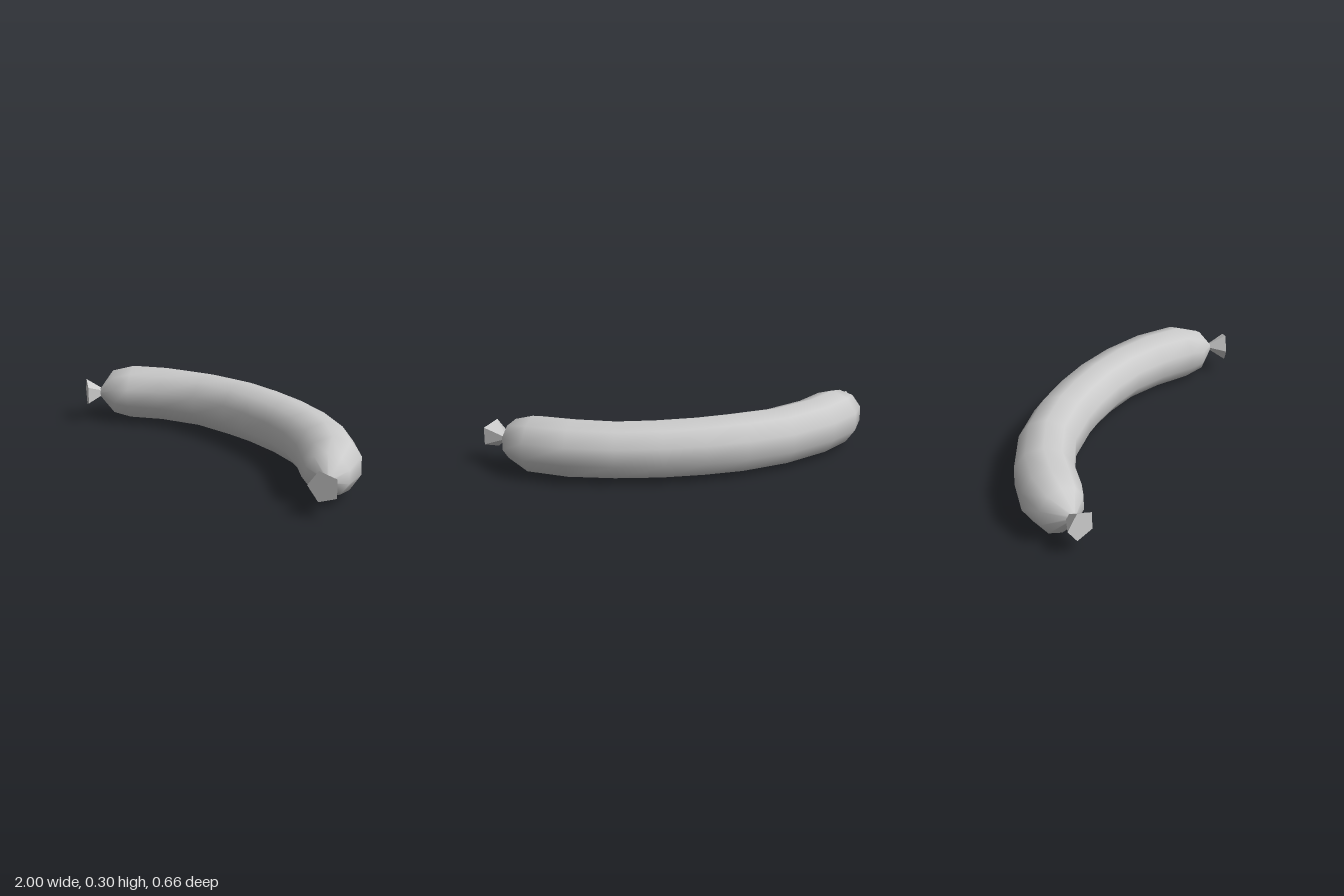
import * as THREE from 'three';

const MID_Y = 0.147;
const SIDES = 10;

// Stations along the bend: outer edge (x, z), inner edge (x, z)
const STATIONS = [
  [-0.893, 0.197, -0.893, 0.197],
  [-0.91, 0.185, -0.88, 0.2],
  [-0.955, 0.06, -0.77, 0.19],
  [-0.87, -0.07, -0.70, 0.15],
  [-0.70, -0.19, -0.56, 0.05],
  [-0.44, -0.295, -0.36, -0.03],
  [-0.19, -0.333, -0.14, -0.055],
  [0.02, -0.333, 0.01, -0.055],
  [0.23, -0.31, 0.21, -0.035],
  [0.46, -0.255, 0.38, 0.005],
  [0.68, -0.16, 0.55, 0.085],
  [0.86, -0.03, 0.70, 0.19],
  [0.93, 0.12, 0.77, 0.235],
  [0.91, 0.22, 0.88, 0.232],
  [0.895, 0.228, 0.895, 0.228],
];

// Ten-sided rings joined into one smooth skin
function bodyGeometry() {
  const pos = [], index = [];
  STATIONS.forEach(([ox, oz, ix, iz], i) => {
    const out = new THREE.Vector2(ox - ix, oz - iz);
    const r = out.length() / 2 / Math.cos(Math.PI / SIDES);
    out.normalize();
    for (let j = 0; j < SIDES; j++) {
      const a = ((j + 0.5) / SIDES) * Math.PI * 2;
      const c = r * Math.cos(a);
      pos.push((ox + ix) / 2 + out.x * c, MID_Y + r * Math.sin(a), (oz + iz) / 2 + out.y * c);
      if (i < STATIONS.length - 1) {
        const p = i * SIDES + j, q = i * SIDES + (j + 1) % SIDES;
        index.push(p, q, p + SIDES, q, q + SIDES, p + SIDES);
      }
    }
  });
  const geo = new THREE.BufferGeometry();
  geo.setAttribute('position', new THREE.Float32BufferAttribute(pos, 3));
  geo.setIndex(index);
  geo.computeVertexNormals();
  return geo;
}

// Five-sided flared end, with one corner pointing along cornerDir
function makeKnot(name, base, axis, cornerDir, material) {
  const h = 0.09;
  const y = axis.clone().normalize(), z = cornerDir.clone().normalize();
  const x = new THREE.Vector3().crossVectors(y, z);
  const knot = new THREE.Mesh(new THREE.CylinderGeometry(0.075, 0.015, h, 5), material);
  knot.name = name;
  knot.quaternion.setFromRotationMatrix(new THREE.Matrix4().makeBasis(x, y, z));
  knot.position.copy(base).addScaledVector(y, -h / 2);
  return knot;
}

export function createModel() {
  const group = new THREE.Group();
  group.name = 'sausage';
  const smooth = new THREE.MeshStandardMaterial({ color: 0xcccccc });
  const flat = new THREE.MeshStandardMaterial({ color: 0xcccccc, flatShading: true });

  const body = new THREE.Mesh(bodyGeometry(), smooth);
  body.name = 'body';

  const V = (x, y, z) => new THREE.Vector3(x, y, z);
  group.add(
    body,
    makeKnot('leftKnot', V(0.945, MID_Y, 0.293), V(0.463, 0, 0.887), V(-0.887, 0, 0.463), flat),
    makeKnot('rightKnot', V(-0.933, MID_Y, 0.25), V(-0.463, 0, 0.887), V(-0.887, 0, -0.463), flat),
  );
  return group;
}
